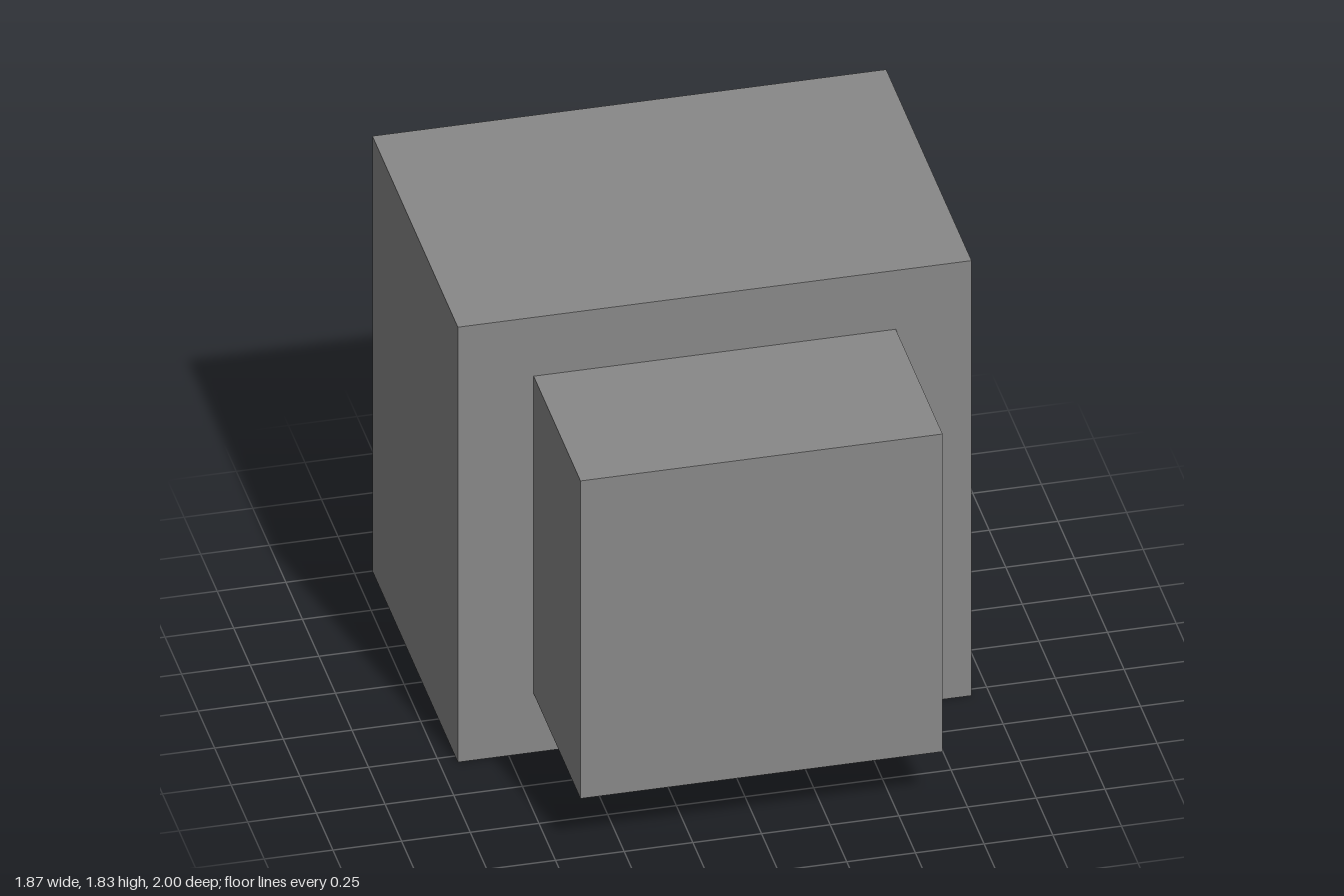
import * as THREE from 'three';

const material = new THREE.MeshStandardMaterial({ color: 0x888888, flatShading: true });

// Box given by its lower and upper corners
function block(name, [x0, y0, z0], [x1, y1, z1]) {
  const mesh = new THREE.Mesh(new THREE.BoxGeometry(x1 - x0, y1 - y0, z1 - z0), material);
  mesh.position.set((x0 + x1) / 2, (y0 + y1) / 2, (z0 + z1) / 2);
  mesh.name = name;
  return mesh;
}

export function createModel() {
  const model = new THREE.Group();
  model.name = 'steppedBlock';
  // Large rear body standing on the ground
  model.add(block('mainBody', [-0.935, 0, -1], [0.935, 1.827, 0.292]));
  // Smaller block projecting from the front face
  model.add(block('frontBlock', [-0.659, 0.246, 0.292], [0.659, 1.58, 1]));
  return model;
}
